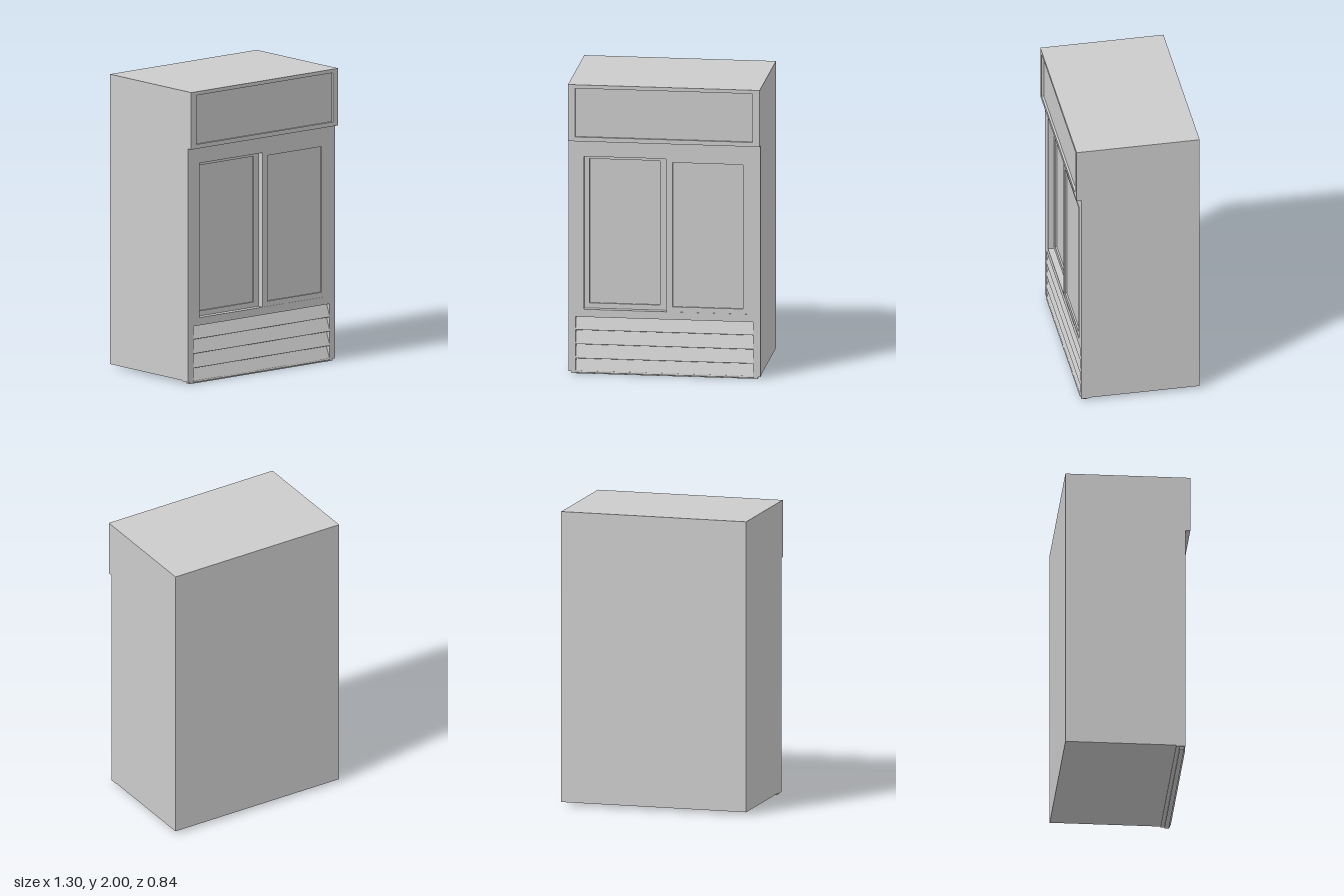
import * as THREE from 'three';

const grey = new THREE.MeshStandardMaterial({ color: 0xcccccc, flatShading: true });

function add(group, name, geometry) {
  const mesh = new THREE.Mesh(geometry, grey);
  mesh.name = name;
  group.add(mesh);
  return mesh;
}

// Box given by its limits on each axis
function block(group, name, [x0, x1], [y0, y1], [z0, z1]) {
  const g = new THREE.BoxGeometry(x1 - x0, y1 - y0, z1 - z0);
  g.translate((x0 + x1) / 2, (y0 + y1) / 2, (z0 + z1) / 2);
  return add(group, name, g);
}

function rectangle(Type, x0, x1, y0, y1) {
  const p = new Type();
  p.moveTo(x0, y0).lineTo(x1, y0).lineTo(x1, y1).lineTo(x0, y1).closePath();
  return p;
}

// Flat panel with rectangular openings; limits are [x0, x1, y0, y1]
function frame(group, name, outer, holes, z0, z1) {
  const shape = rectangle(THREE.Shape, ...outer);
  holes.forEach(h => shape.holes.push(rectangle(THREE.Path, ...h)));
  const g = new THREE.ExtrudeGeometry(shape, { depth: z1 - z0, bevelEnabled: false });
  g.translate(0, 0, z0);
  return add(group, name, g);
}

export function createModel() {
  const model = new THREE.Group();
  model.name = 'displayFridge';

  // Cabinet
  block(model, 'cabinet', [-0.648, 0.648], [0.02, 1.61], [-0.42, 0.325]);
  frame(model, 'cabinetFront', [-0.648, 0.648, 0.015, 1.61], [
    [-0.545, 0.01, 0.445, 1.5],
    [0.01, 0.56, 0.445, 1.5],
    [-0.6, 0.6, 0.02, 0.392],
  ], 0.325, 0.387);

  // Overhanging sign box with an inset panel
  block(model, 'signBox', [-0.648, 0.648], [1.61, 2], [-0.42, 0.405]);
  frame(model, 'signFrame', [-0.648, 0.648, 1.61, 2], [[-0.6, 0.6, 1.64, 1.975]], 0.405, 0.42);

  // Sliding doors: one on the rear track, one on the front track
  const doors = [
    { side: 'right', outer: [-0.545, 0.01], glass: [-0.512, -0.035], z: 0.345 },
    { side: 'left', outer: [0.01, 0.56], glass: [0.055, 0.53], z: 0.385 },
  ];
  for (const { side, outer, glass, z } of doors) {
    const door = new THREE.Group();
    door.name = side + 'Door';
    frame(door, 'doorFrame', [...outer, 0.445, 1.5], [[...glass, 0.48, 1.475]], 0.325, z);
    block(door, 'doorGlass', glass, [0.48, 1.475], [0.325, z - 0.012]);
    model.add(door);
  }

  // Tilted grille slats, each leaning outward at its lower edge
  for (let i = 0; i < 4; i++) {
    const top = 0.392 - i * 0.098;
    const profile = new THREE.Shape();
    profile.moveTo(0.325, top).lineTo(0.355, top)
      .lineTo(0.39, top - 0.088).lineTo(0.38, top - 0.092).lineTo(0.325, top - 0.03).closePath();
    const g = new THREE.ExtrudeGeometry(profile, { depth: 1.2, bevelEnabled: false });
    g.rotateY(-Math.PI / 2); // profile x becomes z, depth runs toward -x
    g.translate(0.6, 0, 0);
    add(model, 'grilleSlat', g);
  }

  // Thin strip under the front edge
  block(model, 'baseStrip', [-0.63, 0.63], [0, 0.018], [0.35, 0.38]);
  return model;
}
